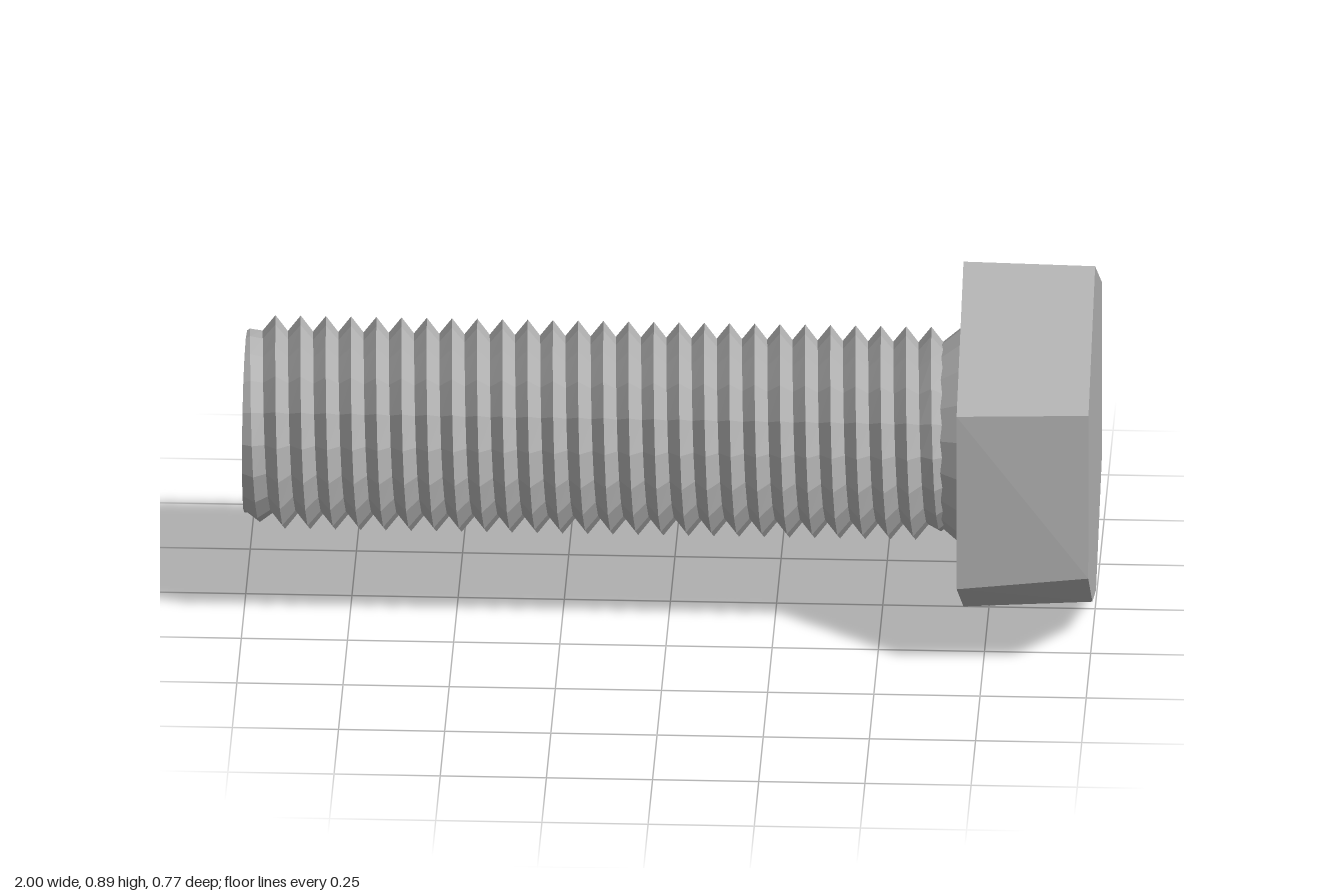
import * as THREE from 'three';
import { ConvexGeometry } from 'three/addons/geometries/ConvexGeometry.js';

const AXIS_Y = 0.447, PITCH = 0.0594, ROOT = 0.215, CREST = 0.252;
const X_TIP = -1, X_END = 0.66, SIDES = 18;

// Helical V-thread: a root-crest-root profile swept round the x axis
function threadGeometry() {
  const pos = [], index = [];
  const first = -2 * SIDES, last = 29 * SIDES;
  for (let i = first; i <= last; i++) {
    const turn = i / SIDES, a = turn * Math.PI * 2;
    [[0, ROOT], [0.5, CREST], [1, ROOT]].forEach(([f, r]) => {
      const x = THREE.MathUtils.clamp(-0.96 + PITCH * (turn + f), X_TIP, X_END);
      // chamfered tip and run-out below the head
      const limit = Math.min(ROOT + (x - X_TIP) * 0.6, ROOT + (X_END - x) * 0.8);
      const rr = Math.min(r, limit);
      pos.push(x, Math.cos(a) * rr, Math.sin(a) * rr);
    });
    if (i === last) break;
    const k = (i - first) * 3;
    for (let j = 0; j < 2; j++) {
      const p = k + j, q = p + 3;
      index.push(p, q, p + 1, q, q + 1, p + 1);
    }
  }
  const g = new THREE.BufferGeometry();
  g.setAttribute('position', new THREE.Float32BufferAttribute(pos, 3));
  g.setIndex(index);
  const flat = g.toNonIndexed();
  flat.computeVertexNormals();
  return flat;
}

// Hexagonal head, with the outer face slightly cut back at the lower corners
function headGeometry() {
  const points = [];
  for (let i = 0; i < 6; i++) {
    const a = i * Math.PI / 3;
    points.push(new THREE.Vector3(0.69, Math.cos(a) * 0.447, Math.sin(a) * 0.447));
  }
  const outer = [[0.888, 0], [0.667, -0.387], [0.225, -0.387], [0.025, -0.05],
    [0.09, 0.155], [0.257, 0.387], [0.672, 0.372]];
  outer.forEach(([y, z]) => points.push(new THREE.Vector3(1, y - AXIS_Y, z)));
  return new ConvexGeometry(points);
}

export function createModel() {
  const steel = new THREE.MeshStandardMaterial({ color: 0xb2b2b2 });
  steel.name = 'steel';
  steel.flatShading = true;

  const bolt = new THREE.Group();
  bolt.name = 'hexBolt';
  const add = (name, geometry) => {
    const mesh = new THREE.Mesh(geometry, steel);
    mesh.name = name;
    mesh.position.y = AXIS_Y;
    bolt.add(mesh);
  };

  add('threadedShank', threadGeometry());
  add('head', headGeometry());

  // Flat end of the shank
  const tip = new THREE.CircleGeometry(ROOT, SIDES);
  tip.rotateY(-Math.PI / 2);
  tip.translate(X_TIP, 0, 0);
  add('shankTip', tip);

  // Flared neck joining the shank to the head
  const neck = new THREE.CylinderGeometry(0.26, ROOT, 0.055, SIDES, 1, true);
  neck.rotateZ(-Math.PI / 2);
  neck.translate(0.6625, 0, 0);
  add('neck', neck);

  return bolt;
}
